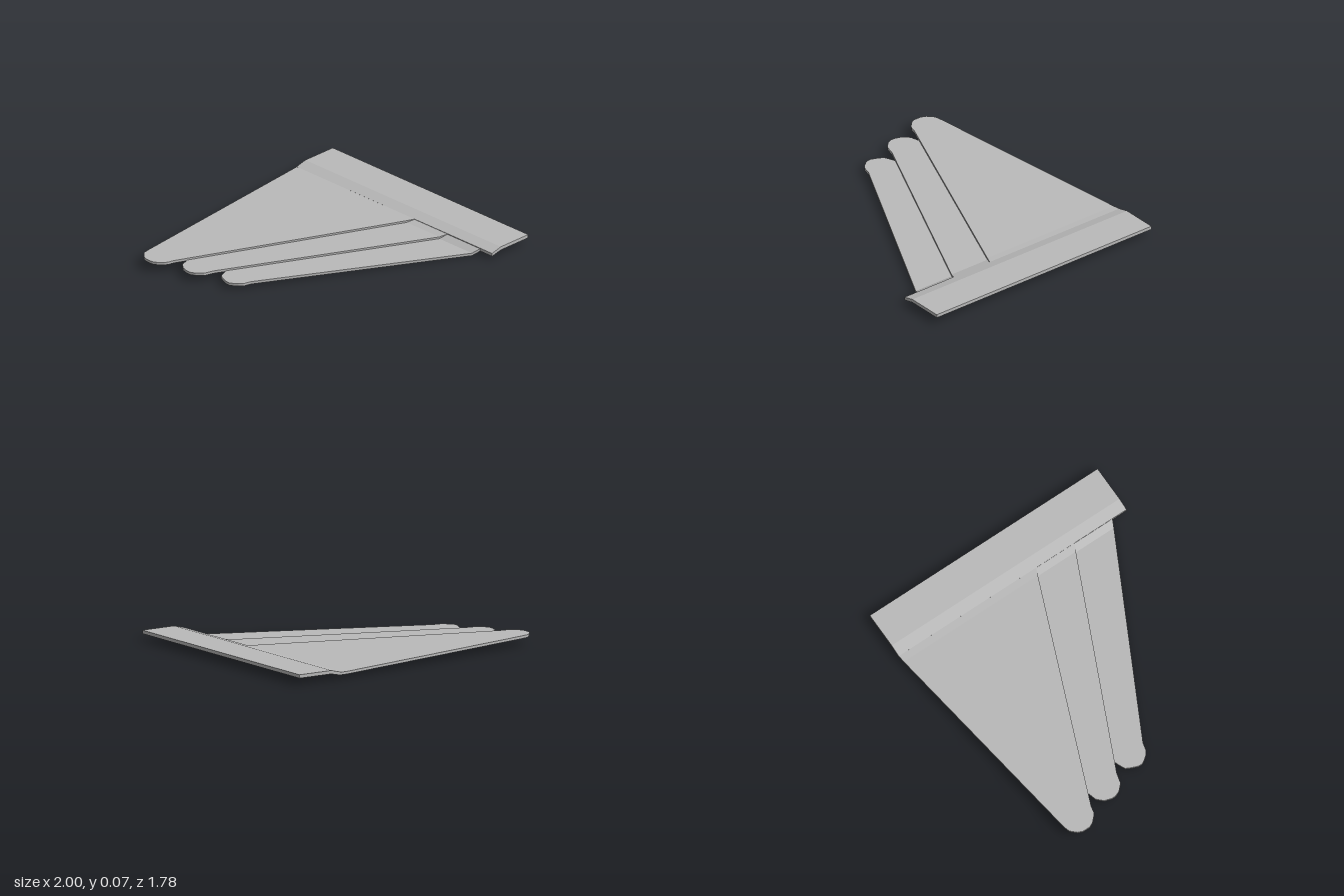
import * as THREE from 'three';

// Solid slab lofted through stations [x, zBack, zFront, yBottom, yTop], x ascending
function slab(stations) {
  const rings = stations.map(([x, zb, zf, yb, yt]) => [
    [x, yt, zb], [x, yt, zf], [x, yb, zf], [x, yb, zb],
  ]);
  const pos = [];
  const quad = (a, b, c, d) => pos.push(...a, ...b, ...c, ...a, ...c, ...d);
  for (let i = 0; i < rings.length - 1; i++) {
    const r = rings[i], s = rings[i + 1];
    for (let k = 0; k < 4; k++) {
      const n = (k + 1) % 4;
      quad(r[k], r[n], s[n], s[k]);
    }
  }
  const first = rings[0], last = rings[rings.length - 1];
  quad(first[3], first[2], first[1], first[0]);
  quad(...last);
  const g = new THREE.BufferGeometry();
  g.setAttribute('position', new THREE.Float32BufferAttribute(pos, 3));
  g.computeVertexNormals(); // unshared corners give flat facets
  return g;
}

// Feather that rises gently to its tip and bends up into the root plate
const BEND = 0.62, SLOPE = 0.0175, THICK = 0.018;
function feather(outline, base) {
  return slab(outline.map(([x, zb, zf]) => {
    if (x > BEND) return [x, zb, zf, 0.027, 0.045];
    const y = base + SLOPE * (BEND - x);
    return [x, zb, zf, y, y + THICK];
  }));
}

export function createModel() {
  const group = new THREE.Group();
  const grey = new THREE.MeshStandardMaterial({ color: 0xbababa });
  grey.name = 'light grey';
  const add = (name, geometry) => {
    const mesh = new THREE.Mesh(geometry, grey);
    mesh.name = name;
    group.add(mesh);
  };

  // Root plate with its sloping step
  add('rootPlate', slab([
    [0.67, -0.89, 0.89, 0.024, 0.045],
    [0.75, -0.89, 0.89, 0.042, 0.065],
    [1.0, -0.89, 0.89, 0.042, 0.065],
  ]));

  // Three overlapping feathers, the rear one on top
  add('rearFeather', feather([
    [-1.0, -0.595, -0.54], [-0.985, -0.63, -0.51], [-0.95, -0.665, -0.475],
    [-0.93, -0.673, -0.463], [-0.89, -0.681, -0.455],
    [0.62, -0.884, 0.163], [0.68, -0.89, 0.188],
  ], 0.026));
  add('middleFeather', feather([
    [-0.915, -0.31, -0.28], [-0.9, -0.36, -0.245], [-0.86, -0.4, -0.205],
    [-0.79, -0.42, -0.187], [0.62, -0.29, 0.46], [0.68, -0.28, 0.488],
  ], 0.013));
  add('frontFeather', feather([
    [-0.825, -0.04, -0.01], [-0.81, -0.08, 0.015], [-0.79, -0.12, 0.04],
    [-0.765, -0.133, 0.06], [-0.71, -0.155, 0.073],
    [0.62, 0.055, 0.757], [0.68, 0.065, 0.785],
  ], 0));

  return group;
}
